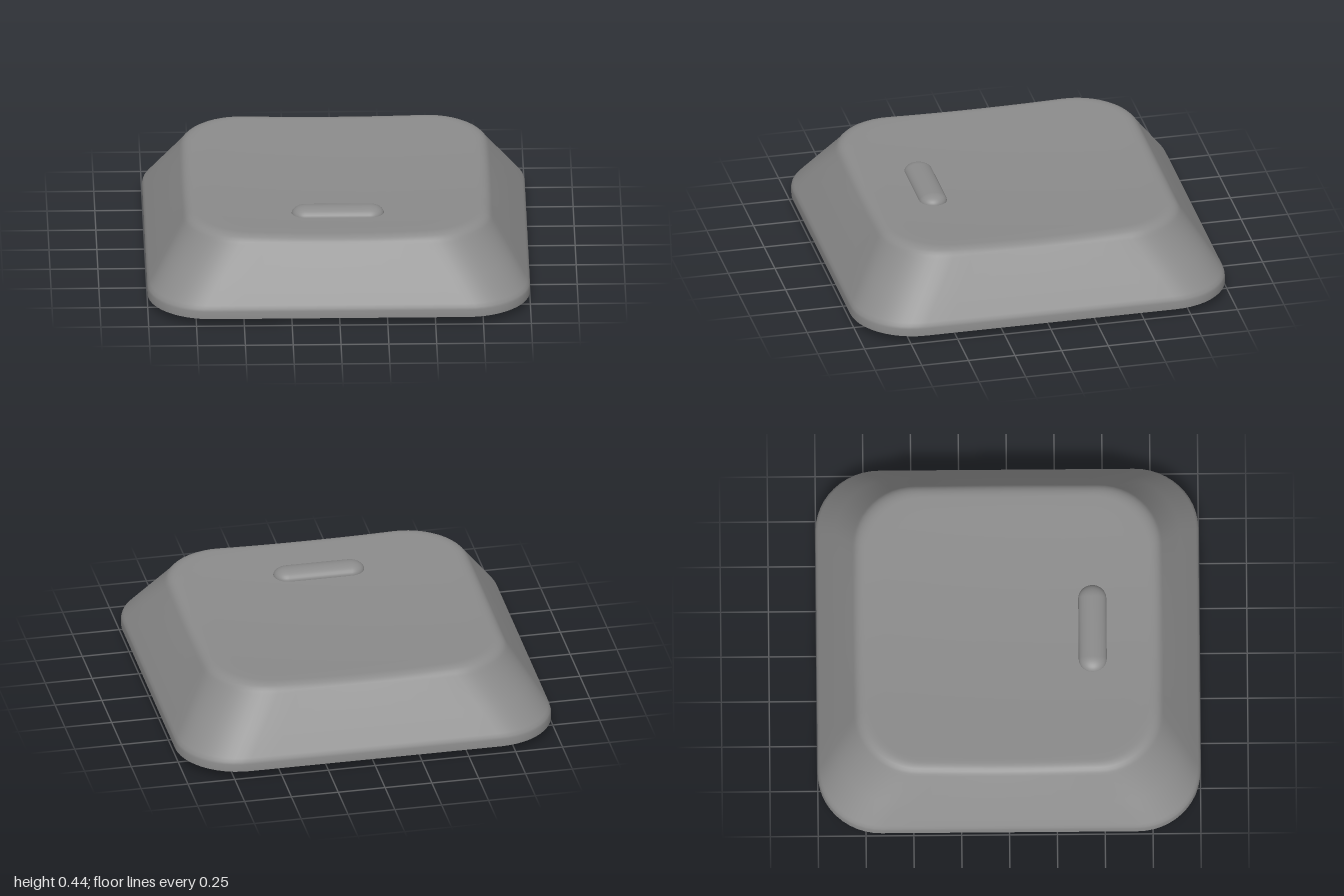
import * as THREE from 'three';
import { toCreasedNormals } from 'three/addons/utils/BufferGeometryUtils.js';

const material = new THREE.MeshStandardMaterial({ color: 0x8b8b8b });

// Skin a list of closed rings (each the same number of points, running from +x to +z)
function loft(rings, crease) {
  const n = rings[0].length, positions = [], index = [];
  rings.forEach(ring => ring.forEach(p => positions.push(p.x, p.y, p.z)));
  const add = (a, b, c) => {
    const [p, q, r] = [a, b, c].map(i => rings[Math.floor(i / n)][i % n]);
    if (p.distanceTo(q) > 1e-6 && q.distanceTo(r) > 1e-6 && r.distanceTo(p) > 1e-6) index.push(a, b, c);
  };
  for (let j = 0; j < rings.length - 1; j++) {
    for (let i = 0; i < n; i++) {
      const k = (i + 1) % n, a = j * n, b = a + n;
      add(a + i, b + i, a + k);
      add(a + k, b + i, b + k);
    }
  }
  const geometry = new THREE.BufferGeometry();
  geometry.setAttribute('position', new THREE.Float32BufferAttribute(positions, 3));
  geometry.setIndex(index);
  return toCreasedNormals(geometry, crease);
}

// Rounded square ring: half size h, corner radius r, height as a function of (x, z)
function roundedSquare(h, r, height) {
  const points = [], cornerSteps = 12, sideSteps = 10, c = h - r;
  for (let q = 0; q < 4; q++) {
    const cos = Math.round(Math.cos(q * Math.PI / 2)), sin = Math.round(Math.sin(q * Math.PI / 2));
    const put = (x, z) => {
      const px = x * cos - z * sin, pz = x * sin + z * cos;
      points.push(new THREE.Vector3(px, height(px, pz), pz));
    };
    for (let i = 0; i < sideSteps; i++) put(h, -c + 2 * c * i / sideSteps);
    for (let i = 0; i < cornerSteps; i++) {
      const a = i / cornerSteps * Math.PI / 2;
      put(c + r * Math.cos(a), c + r * Math.sin(a));
    }
  }
  return points;
}

function createShell() {
  const dish = (x, z) => 0.386 + 0.041 * (x * x + z * z);
  const rings = [];
  // Ceiling, inner wall, bottom rim, softly bent skirt and sloping sides: [half size, radius, y]
  for (const [h, r, y] of [
    [0, 0, 0.32], [0.725, 0.21, 0.32], [0.867, 0.21, 0.11], [0.88, 0.21, 0.085], [0.88, 0.21, 0.04],
    [1, 0.33, 0.04], [1, 0.33, 0.08], [0.997, 0.33, 0.093], [0.987, 0.33, 0.1095],
    [0.905, 0.33, 0.2325],
  ]) rings.push(roundedSquare(h, r, () => y));
  // Rounded top edge, blending into the dish
  for (let i = 0; i <= 6; i++) {
    const t = i / 6, u = 1 - t;
    const h = u * u * 0.81 + 2 * u * t * 0.785 + t * t * 0.73;
    rings.push(roundedSquare(h, 0.33 - 0.04 * t,
      (x, z) => u * u * 0.375 + (1 - u * u) * dish(x, z)));
  }
  // Shallow spherical dish
  for (let i = 7; i >= 0; i--) rings.push(roundedSquare(0.73 * i / 8, 0.29 * i / 8, dish));
  return loft(rings, 0.7);
}

// Corners of the cross-shaped socket, half length l and half width w
function crossPoints(l = 0.228, w = 0.07) {
  return [[l, -w], [l, w], [w, w], [w, l], [-w, l], [-w, w],
    [-l, w], [-l, -w], [-w, -w], [-w, -l], [w, -l], [w, -w]];
}

function createStem() {
  const stem = new THREE.Group();
  stem.name = 'stem';
  const add = (geometry, name) => {
    const mesh = new THREE.Mesh(geometry, material);
    mesh.name = name;
    stem.add(mesh);
  };
  // Chamfered round post
  const profile = [[0.27, 0], [0.3, 0.025], [0.3, 0.325]].map(p => new THREE.Vector2(...p));
  add(toCreasedNormals(new THREE.LatheGeometry(profile, 64), 0.5), 'stemPost');
  // End face with the cross opening
  const face = new THREE.Shape().absarc(0, 0, 0.27, 0, Math.PI * 2);
  face.holes.push(new THREE.Path(crossPoints().map(p => new THREE.Vector2(...p))));
  add(new THREE.ShapeGeometry(face, 32).rotateX(Math.PI / 2), 'stemEnd');
  // Socket walls
  const ring = y => crossPoints().map(([x, z]) => new THREE.Vector3(x, y, z));
  add(loft([ring(0.32), ring(0)], 0.5), 'crossSocket');
  return stem;
}

export function createModel() {
  const model = new THREE.Group();
  model.name = 'keycap';

  const shell = new THREE.Mesh(createShell(), material);
  shell.name = 'shell';

  // Raised finger-locating bar near the front edge
  const barGeometry = new THREE.CapsuleGeometry(0.074, 0.335, 12, 32)
    .rotateZ(Math.PI / 2).scale(1, 0.6, 1);
  const bar = new THREE.Mesh(barGeometry, material);
  bar.name = 'homingBar';
  bar.position.set(0, 0.392, 0.442);

  model.add(shell, bar, createStem());
  return model;
}
